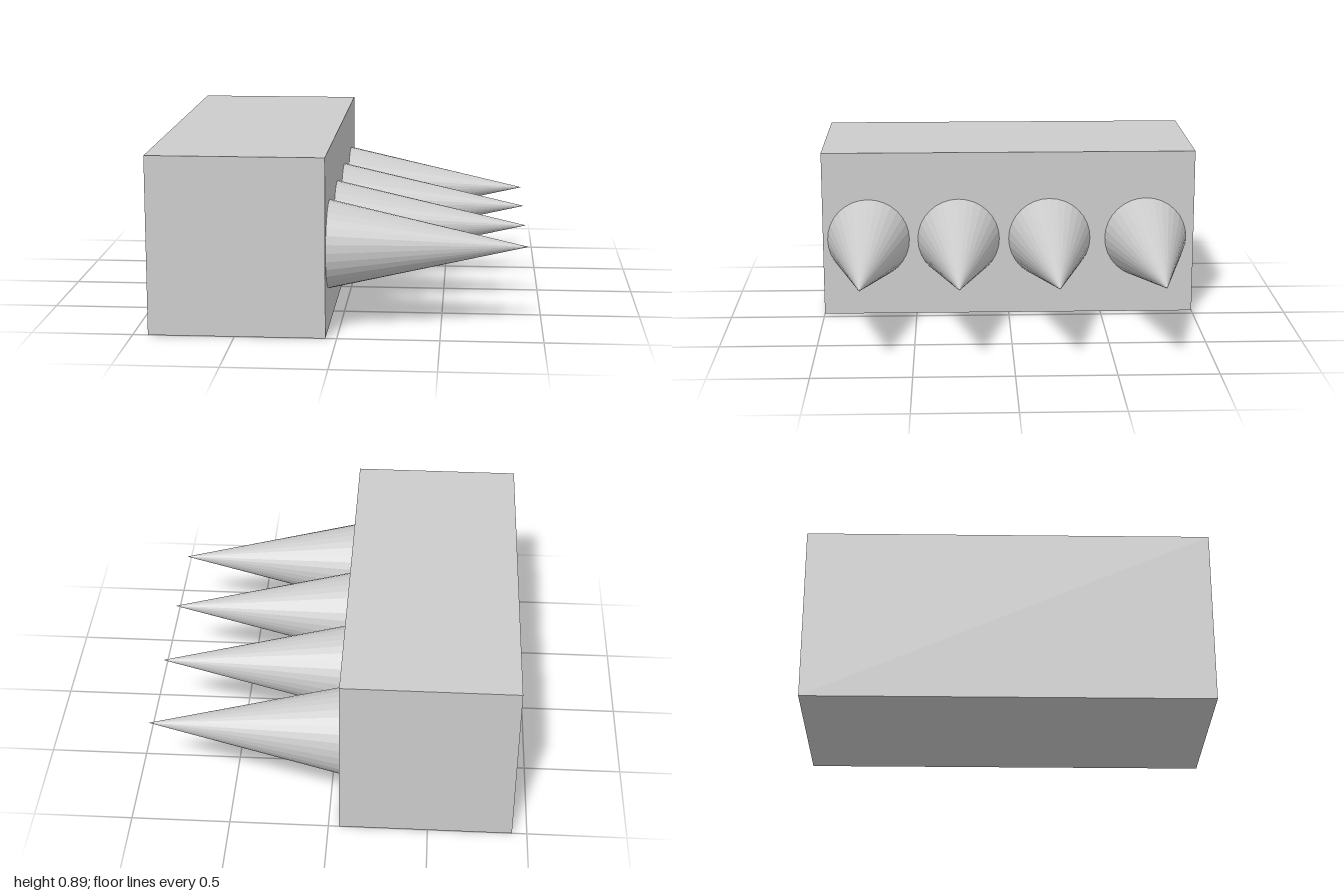
import * as THREE from 'three';

export function createModel() {
  const model = new THREE.Group();
  const material = new THREE.MeshStandardMaterial({ color: 0xcccccc, flatShading: true });

  // Rectangular block
  const minX = -0.925, faceX = -0.055, tipX = 0.925, height = 0.89;
  const block = new THREE.Mesh(new THREE.BoxGeometry(faceX - minX, height, 2), material);
  block.name = 'block';
  block.position.set((minX + faceX) / 2, height / 2, 0);
  model.add(block);

  // Row of spikes pointing out of the +x face
  const length = tipX - faceX;
  const spikeGeometry = new THREE.ConeGeometry(0.22, length, 32);
  spikeGeometry.rotateZ(-Math.PI / 2);
  [-0.74, -0.22, 0.27, 0.755].forEach((z, i) => {
    const spike = new THREE.Mesh(spikeGeometry, material);
    spike.name = `spike${i + 1}`;
    spike.position.set(faceX + length / 2, 0.415, z);
    model.add(spike);
  });

  return model;
}
